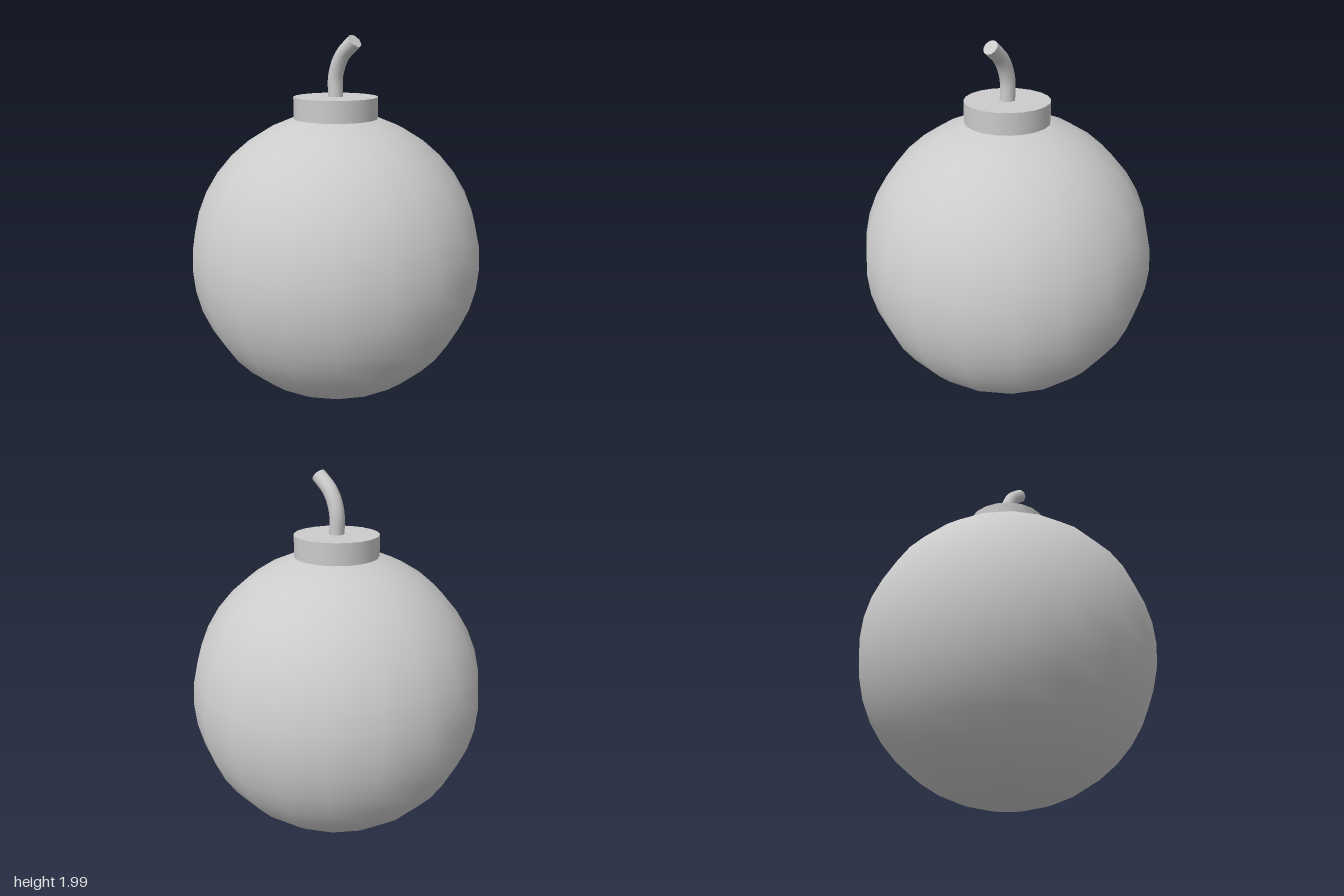
import * as THREE from 'three';

export function createModel() {
  const group = new THREE.Group();
  const material = new THREE.MeshStandardMaterial({ color: 0xcccccc });

  const add = (name, geometry, y = 0) => {
    const mesh = new THREE.Mesh(geometry, material);
    mesh.name = name;
    mesh.position.y = y;
    group.add(mesh);
    return mesh;
  };

  // Round body
  add('body', new THREE.SphereGeometry(0.8, 20, 20), 0.8);

  // Short collar on top, sunk slightly into the body
  add('collar', new THREE.CylinderGeometry(0.225, 0.225, 0.13, 20), 1.615);

  // Bent fuse rising from the collar
  const path = new THREE.CatmullRomCurve3([
    new THREE.Vector3(0, 1.66, 0),
    new THREE.Vector3(0, 1.79, 0),
    new THREE.Vector3(0.042, 1.89, -0.009),
    new THREE.Vector3(0.125, 1.965, -0.028),
  ]);
  add('fuse', new THREE.TubeGeometry(path, 14, 0.04, 12));

  // Flat disc closing the fuse tip
  const tip = add('fuseTip', new THREE.CircleGeometry(0.04, 12));
  tip.position.copy(path.getPoint(1));
  tip.quaternion.setFromUnitVectors(new THREE.Vector3(0, 0, 1), path.getTangent(1));

  return group;
}
